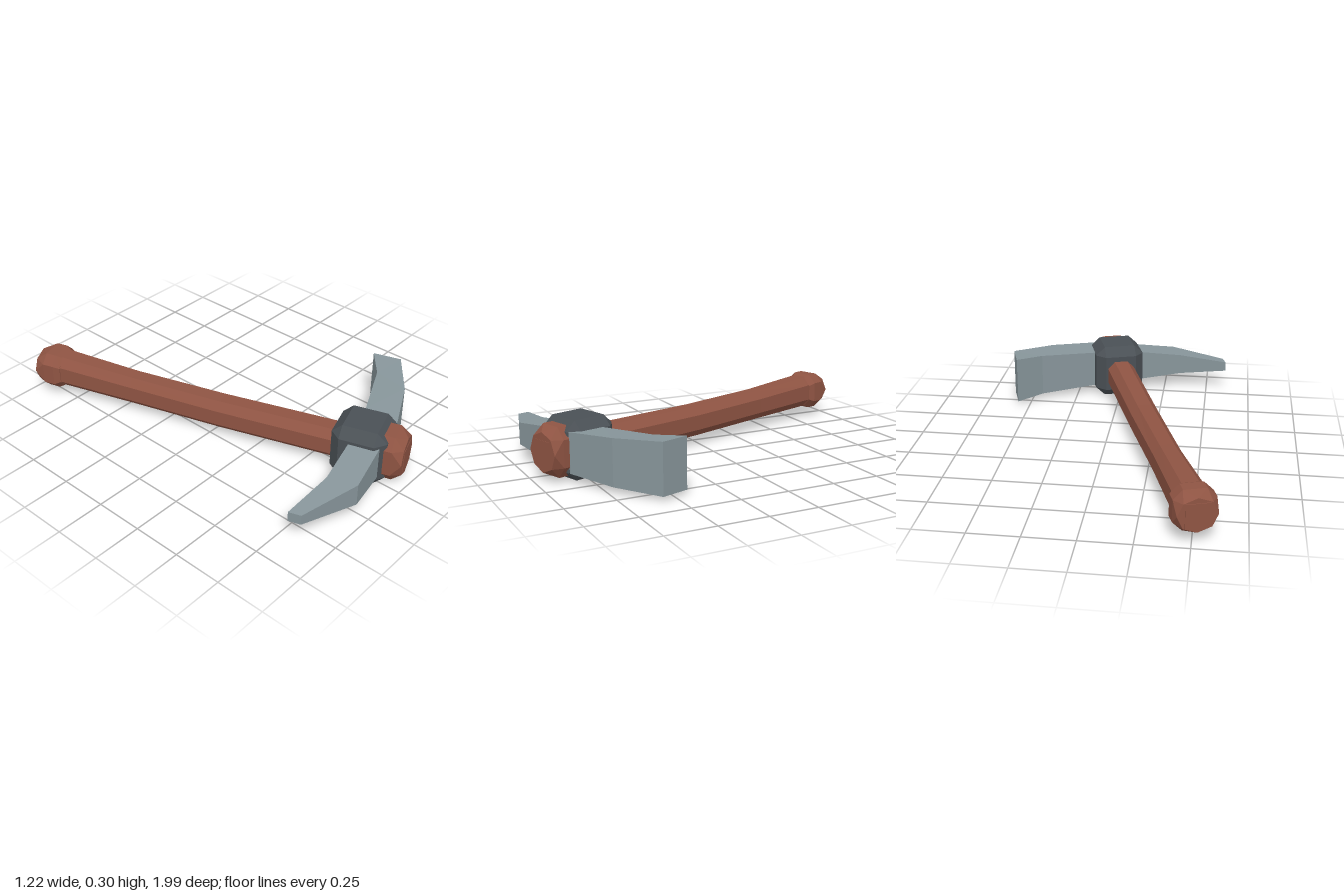
import * as THREE from 'three';
import { ConvexGeometry } from 'three/addons/geometries/ConvexGeometry.js';

const V = (x, y, z) => new THREE.Vector3(x, y, z);

// Joins equal-sized rings of points into a closed, flat-shaded solid.
function loft(rings) {
  const n = rings[0].length, pos = [];
  const tri = (...pts) => pts.forEach(p => pos.push(p.x, p.y, p.z));
  for (let r = 0; r < rings.length - 1; r++) {
    const a = rings[r], b = rings[r + 1];
    for (let i = 0; i < n; i++) {
      const j = (i + 1) % n;
      tri(a[i], a[j], b[j]);
      tri(a[i], b[j], b[i]);
    }
  }
  const first = rings[0], last = rings[rings.length - 1];
  for (let i = 1; i < n - 1; i++) {
    tri(first[0], first[i + 1], first[i]);
    tri(last[0], last[i], last[i + 1]);
  }
  const g = new THREE.BufferGeometry();
  g.setAttribute('position', new THREE.Float32BufferAttribute(pos, 3));
  g.computeVertexNormals();
  return g;
}

// Eight-sided ring: a rectangle with cut corners, facing +z.
function octagon(hx, hy, z, y = 0, cut = 0.5) {
  const a = hx * cut, b = hy * cut;
  return [[hx, -b], [hx, b], [a, hy], [-a, hy], [-hx, b], [-hx, -b], [-a, -hy], [a, -hy]]
    .map(p => V(p[0], p[1] + y, z));
}

// Faceted knob whose outer face is an octagon turned by half a side.
function knobGeometry(inner, outer, hx, hy, endX, endY) {
  const at = t => THREE.MathUtils.lerp(inner, outer, t);
  const points = [
    ...octagon(hx * 0.86, hy * 0.84, at(0)),
    ...octagon(hx, hy, at(0.22), 0, 0.55),
    ...octagon(hx, hy, at(0.62), 0, 0.55),
  ];
  for (let k = 0; k < 8; k++) {
    const a = k * Math.PI / 4;
    points.push(V(endX * Math.cos(a), endY * Math.sin(a), outer));
  }
  return new ConvexGeometry(points);
}

export function createModel() {
  const material = (name, color) => {
    const m = new THREE.MeshStandardMaterial({ color, flatShading: true });
    m.name = name;
    return m;
  };
  const wood = material('wood', 0x8f5443);
  const steel = material('steel', 0x87959a);
  const iron = material('darkIron', 0x4a5055);

  const model = new THREE.Group();
  model.name = 'pickaxe';
  const add = (parent, name, geometry, mat) => {
    const mesh = new THREE.Mesh(geometry, mat);
    mesh.name = name;
    parent.add(mesh);
    return mesh;
  };

  // Shaft assembly, lying flat and turned about the vertical
  const shaft = new THREE.Group();
  shaft.name = 'shaft';
  shaft.position.set(-0.2125, 0.149, -0.005);
  shaft.rotation.y = 0.313;
  model.add(shaft);

  // Handle: z, half width, half height, height offset
  const sections = [
    [-0.95, 0.084, 0.09, 0.002], [-0.85, 0.081, 0.087, 0.001], [-0.45, 0.071, 0.08, -0.012],
    [0.05, 0.074, 0.08, -0.018], [0.65, 0.076, 0.081, -0.01], [0.96, 0.076, 0.081, 0],
  ];
  add(shaft, 'handle', loft(sections.map(([z, hx, hy, y]) => octagon(hx, hy, z, y))), wood);

  // Knobs at both ends, each with a thin square end plate
  add(shaft, 'frontKnob', knobGeometry(0.88, 1.015, 0.1, 0.125, 0.097, 0.1), wood);
  add(shaft, 'tailKnob', knobGeometry(-0.865, -1.013, 0.1, 0.1, 0.094, 0.085), wood);
  for (const s of [1, -1]) {
    const plate = add(shaft, 'endPlate', new THREE.BoxGeometry(0.115, 0.118, 0.008), wood);
    plate.position.z = s * 1.013;
  }

  // Chamfered block that clamps the blade to the handle
  const corners = [];
  for (const x of [-1, 1]) for (const y of [-1, 1]) for (const z of [-1, 1]) {
    corners.push(
      V(x * 0.138, y * 0.1, z * 0.087),
      V(x * 0.087, y * 0.148, z * 0.087),
      V(x * 0.087, y * 0.1, z * 0.138),
    );
  }
  add(shaft, 'clampBlock', new ConvexGeometry(corners), iron).position.z = 0.8;

  // Curved blade, narrow point to broad edge: front x, z, back x, z, half height
  const stations = [
    [-0.59, 0.87, -0.61, 0.81, 0.026],
    [-0.29, 0.955, -0.34, 0.815, 0.057],
    [-0.04, 0.895, -0.1, 0.76, 0.086],
    [0.17, 0.85, 0.16, 0.67, 0.102],
    [0.41, 0.73, 0.44, 0.54, 0.117],
    [0.61, 0.57, 0.565, 0.43, 0.128],
  ];
  const blade = loft(stations.map(([fx, fz, bx, bz, h]) => [
    V(bx, -h, bz), V(bx, h, bz), V(fx, h, fz), V(fx, -h, fz),
  ]));
  add(model, 'blade', blade, steel).position.y = 0.149;

  return model;
}
